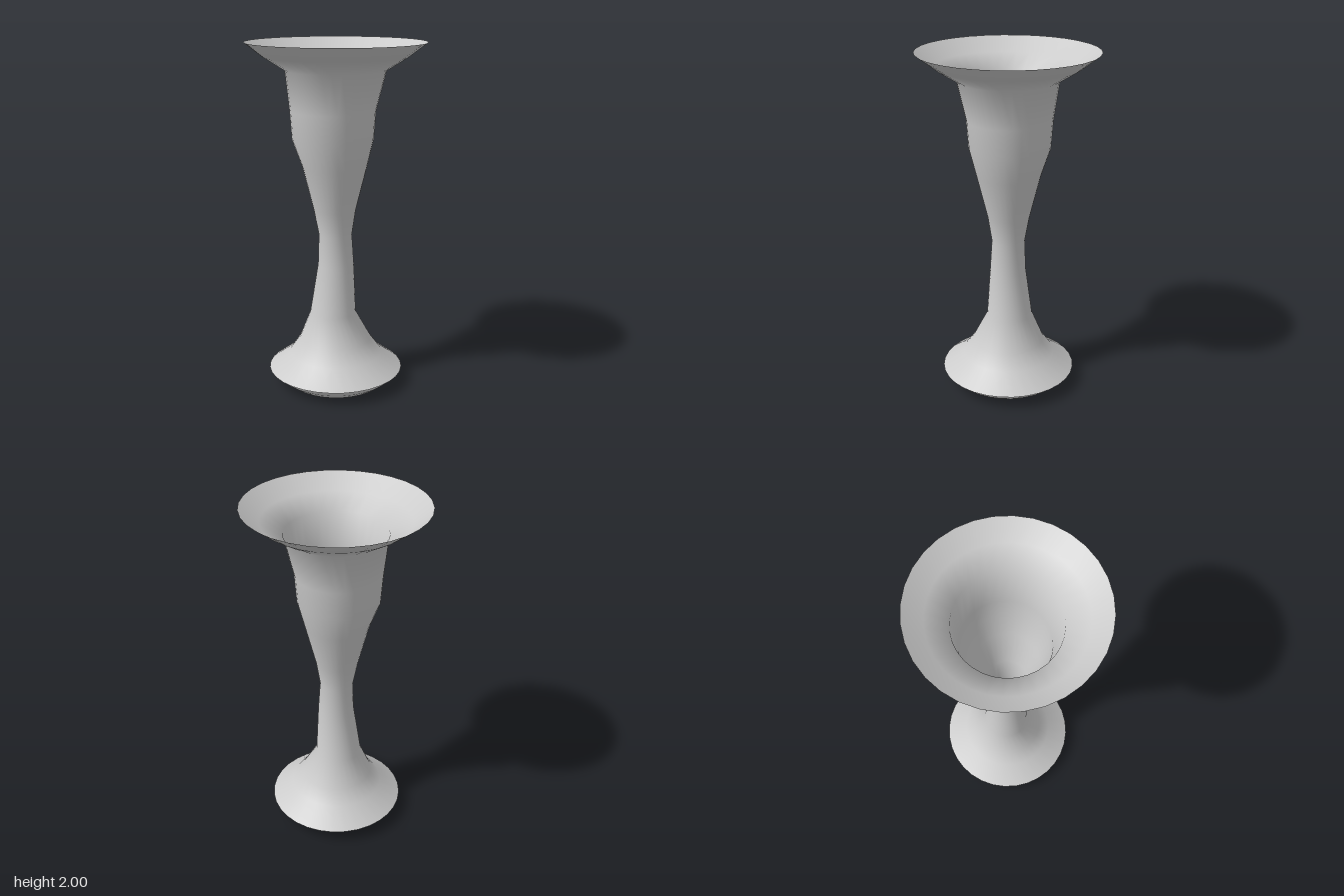
import * as THREE from 'three';

const SIDES = 32;

// Lathe a profile of [y, radius, sideways shift], listed from bottom to top
function turned(name, rings, material) {
  const points = rings.map(([y, r]) => new THREE.Vector2(r, y));
  const geometry = new THREE.LatheGeometry(points, SIDES);
  const position = geometry.attributes.position;
  for (let i = 0; i < position.count; i++) {
    position.setX(i, position.getX(i) + rings[i % rings.length][2]);
  }
  const mesh = new THREE.Mesh(geometry, material);
  mesh.name = name;
  return mesh;
}

export function createModel() {
  const group = new THREE.Group();
  group.name = 'vase';
  const material = new THREE.MeshStandardMaterial({ color: 0xcccccc, side: THREE.DoubleSide });

  // Rounded open foot
  group.add(turned('foot', [
    [0, 0.288, 0],
    [0.04, 0.343, 0],
    [0.083, 0.368, 0],
  ], material));

  // Flat underside of the base flare
  group.add(turned('baseLedge', [
    [0.083, 0.368, 0],
    [0.083, 0.396, -0.003],
  ], material));

  // Slightly uneven hollow body: base flare, slim stem, cup and wide lip
  group.add(turned('body', [
    [0.083, 0.396, -0.003],
    [0.175, 0.273, -0.003],
    [0.26, 0.212, -0.005],
    [0.42, 0.135, -0.02],
    [0.72, 0.105, 0],
    [0.9, 0.096, -0.004],
    [1.05, 0.122, -0.008],
    [1.3, 0.184, -0.008],
    [1.46, 0.232, -0.02],
    [1.62, 0.243, -0.02],
    [1.845, 0.283, -0.002],
    [1.92, 0.403, -0.002],
    [2, 0.507, 0],
  ], material));

  return group;
}
